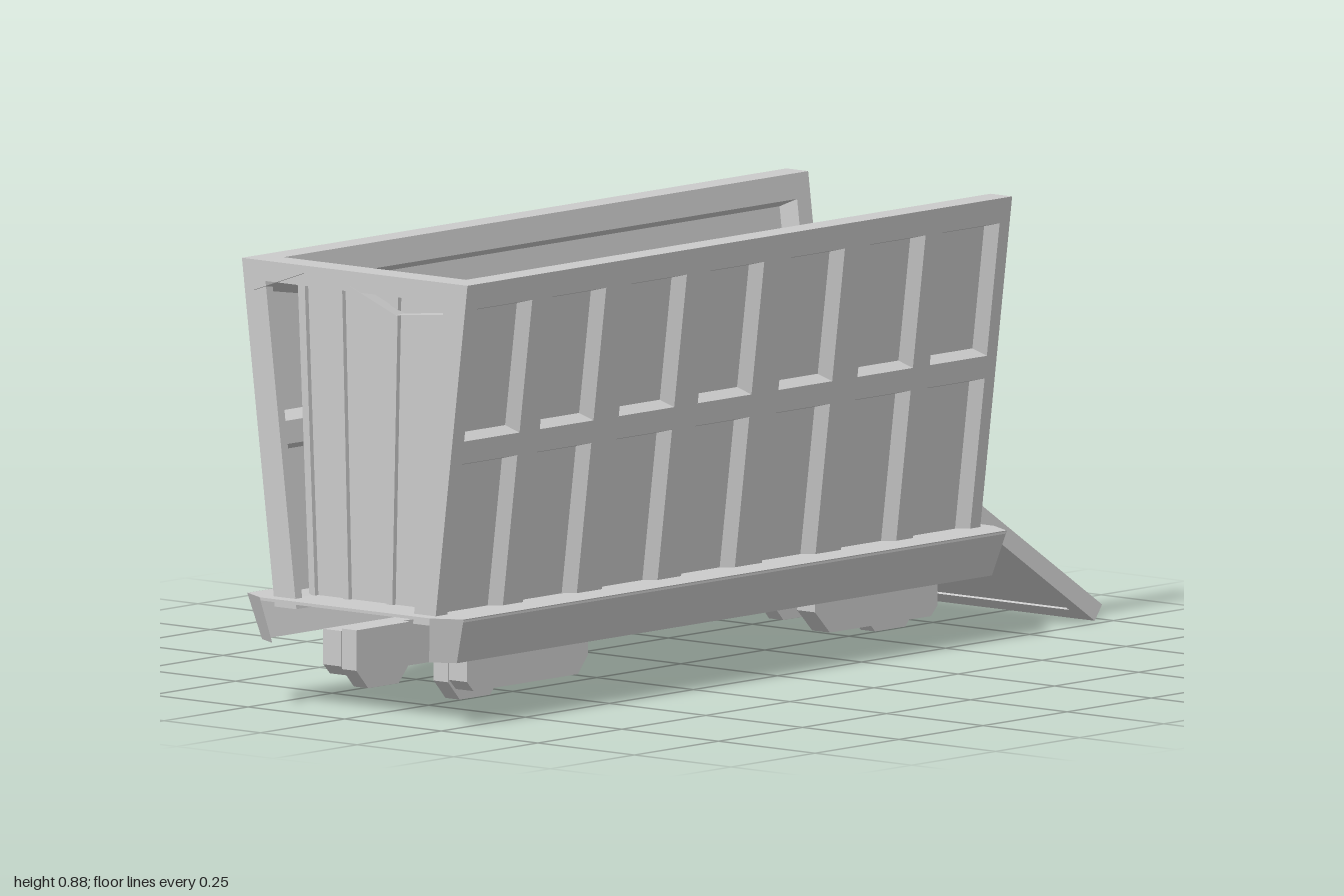
import * as THREE from 'three';

const mat = new THREE.MeshStandardMaterial({ color: 0xcccccc, flatShading: true, side: THREE.DoubleSide });
const FRONT = 0.97, BACK = -0.65, BOTTOM = 0.2, TOP = 0.88;
// Outer face of the leaning side walls at height y
const outerX = (y) => 0.207 + (y - BOTTOM) * 0.125;

function add(parent, name, geometry) {
  const mesh = new THREE.Mesh(geometry, mat);
  mesh.name = name;
  parent.add(mesh);
  return mesh;
}

const rect = (a, b, c, d) => [[a, c], [b, c], [b, d], [a, d]].map((p) => new THREE.Vector2(...p));

// Flat plate from an outline with holes, between depths w0 and w1
function plate(outline, holes, w0, w1) {
  const shape = new THREE.Shape(outline);
  holes.forEach((h) => shape.holes.push(new THREE.Path(h)));
  return new THREE.ExtrudeGeometry(shape, { depth: w1 - w0, bevelEnabled: false }).translate(0, 0, w0);
}

// Band of quads between two outlines at depths w0 and w1, closed unless count is given
function rim(outer, inner, w0, w1, count = outer.length) {
  const pos = [];
  for (let i = 0; i < count; i++) {
    const j = (i + 1) % outer.length;
    const q = [[outer[i], w0], [outer[j], w0], [inner[j], w1], [inner[i], w1]];
    [0, 1, 2, 0, 2, 3].forEach((k) => pos.push(q[k][0].x, q[k][0].y, q[k][1]));
  }
  const g = new THREE.BufferGeometry();
  g.setAttribute('position', new THREE.Float32BufferAttribute(pos, 3));
  g.computeVertexNormals();
  return g;
}

// Turn a plate to the side and lean it outwards
function lean(g) {
  g.rotateY(Math.PI / 2);
  const p = g.attributes.position;
  for (let i = 0; i < p.count; i++) p.setX(i, p.getX(i) + outerX(p.getY(i)));
  g.computeVertexNormals();
  return g;
}

function sideWall() {
  const wall = new THREE.Group();
  wall.name = 'sideWall';
  const whole = rect(-FRONT, -BACK, BOTTOM, TOP);
  const columns = [[0.935, 0.77], [0.71, 0.55], [0.475, 0.31], [0.24, 0.08], [0, -0.16], [-0.235, -0.4], [-0.45, -0.62]];
  const rows = [[0.565, 0.83, 0.015], [0.215, 0.52, 0]];
  const holes = [];
  // Outer panels with bevelled rims
  for (const [za, zb] of columns) for (const [ya, yb, bottomInset] of rows) {
    const hole = rect(-za, -zb, ya, yb);
    holes.push(hole);
    add(wall, 'panelRim', lean(rim(hole, rect(-za + 0.02, -zb - 0.02, ya + bottomInset, yb - 0.006), 0, -0.022)));
  }
  add(wall, 'outerFrame', lean(plate(whole, holes, -0.022, 0)));
  add(wall, 'wallCore', lean(plate(whole, [], -0.026, -0.022)));
  // Long panels on the inside
  const inside = rows.map(([ya, yb]) => rect(-0.95, 0.61, ya, yb));
  add(wall, 'innerFrame', lean(plate(whole, inside, -0.056, -0.026)));
  rows.forEach(([ya, yb], i) =>
    add(wall, 'innerRim', lean(rim(inside[i], rect(-0.93, 0.59, ya + 0.015, yb - 0.015), -0.056, -0.026))));
  return wall;
}

// Upright trapezoid: left and right edges at the bottom, then at the top
const trapezoid = (a0, b0, a1, b1, y0, y1) =>
  [[a0, y0], [b0, y0], [b1, y1], [a1, y1]].map((p) => new THREE.Vector2(...p));

// Recessed front wall under a top beam
function endWall() {
  const g = new THREE.Group();
  g.name = 'endWall';
  const x1 = outerX(0.84), x2 = outerX(TOP);
  add(g, 'topBeam', plate(trapezoid(-x1, x1, -x2, x2, 0.84, TOP), [], 0.91, FRONT));
  add(g, 'endPanel', plate(trapezoid(-0.17, 0.17, -0.21, 0.21, 0.22, 0.85), [], 0.885, 0.9));
  // Upright ribs, spreading towards the top
  for (const [a0, b0, a1, b1] of [[-0.17, -0.155, -0.2, -0.182], [-0.083, -0.068, -0.105, -0.085], [0.03, 0.045, 0.04, 0.06], [0.155, 0.17, 0.182, 0.2]])
    add(g, 'endRib', plate(trapezoid(a0, b0, a1, b1, 0.22, 0.84), [], 0.895, 0.91));
  return g;
}

function ramp() {
  const g = new THREE.Group();
  g.name = 'ramp';
  const L = 0.44, T = 0.037;
  const hole = trapezoid(-0.138, 0.138, -0.182, 0.182, 0.035, L - 0.035);
  const floor = trapezoid(-0.128, 0.128, -0.172, 0.172, 0.045, L - 0.045);
  add(g, 'rampFrame', plate(trapezoid(-0.175, 0.175, -0.224, 0.224, 0, L), [hole], -T, 0));
  add(g, 'rampFloor', plate(hole, [], -T + 0.004, -0.018));
  add(g, 'rampRim', rim(hole, floor, 0, -0.018));
  for (const x of [-0.07, 0.04])
    add(g, 'rampRib', plate(trapezoid(x - 0.01, x + 0.01, x * 1.3 - 0.012, x * 1.3 + 0.012, 0.04, L - 0.04), [], -0.02, -0.015));
  g.position.set(0, 0.29, -0.64);
  g.rotation.x = Math.atan2(-0.35, -0.255);
  return g;
}

// Tray open below and at the front: floor plate and slanting skirts
function base() {
  const g = new THREE.Group();
  g.name = 'base';
  // Chamfered outline; its last edge is the front one
  const outline = (x, xc, z, zc) => [[xc, z], [x, zc], [x, -zc], [xc, -z], [-xc, -z], [-x, -zc], [-x, zc], [-xc, z]]
    .map((p) => new THREE.Vector2(...p));
  const top = outline(0.28, 0.22, 0.84, 0.808);
  const low = outline(0.252, 0.203, 0.822, 0.796);
  add(g, 'baseFloor', plate(top.map((p) => p.clone().multiplyScalar(0.998)), [], 0, 0.006));
  add(g, 'baseSkirt', rim(top, low, 0, 0.09, 7));
  g.rotation.x = Math.PI / 2;
  g.position.set(0, 0.22, 0.16);
  return g;
}

// Outline in z and y, given thickness from x0 to x1
function runner(points, x0, x1) {
  return plate(points.map(([z, y]) => new THREE.Vector2(-z, y)), [], x0, x1).rotateY(Math.PI / 2);
}

// Sloping load, high at the front and spilling to the back
function load() {
  const stations = [[0.974, 0.83], [0.75, 0.775], [0.55, 0.735], [0.38, 0.695], [0.2, 0.65], [0.05, 0.54],
    [-0.1, 0.43], [-0.25, 0.36], [-0.42, 0.31], [-0.65, 0.26]];
  const frontEdge = [-0.01, 0.035, 0.02, -0.025, -0.01];
  const g = new THREE.PlaneGeometry(2, 1, 4, stations.length - 1);
  const p = g.attributes.position;
  let seed = 11;
  const noise = () => ((seed = (seed * 137 + 71) % 1009) / 1009 - 0.5);
  for (let i = 0; i < p.count; i++) {
    const c = i % 5, r = Math.floor(i / 5), [z, h] = stations[r];
    const middle = r > 0 && r < 9;
    const crown = middle ? 0.015 * (1 - Math.abs(c - 2) / 2) : 0;
    const y = h + crown + (r === 0 ? frontEdge[c] : noise() * (middle ? 0.03 : 0.01));
    const shift = c % 4 ? noise() * 0.04 : 0;
    p.setXYZ(i, p.getX(i) * (outerX(y) - 0.025) + shift, y, z + (middle ? noise() * 0.06 : 0));
  }
  g.computeVertexNormals();
  return g;
}

export function createModel() {
  const model = new THREE.Group();
  model.name = 'freightWagon';
  model.add(base(), endWall(), ramp());
  add(model, 'load', load());

  // Loose lumps on the load
  for (const [x, y, z, s] of [[-0.14, 0.28, -0.58, 0.065], [0.16, 0.36, -0.33, 0.055], [0.2, 0.8, 0.74, 0.055]]) {
    const lump = add(model, 'lump', new THREE.TetrahedronGeometry(s));
    lump.position.set(x, y, z);
    lump.rotation.set(x * 9, z * 4, 0.5);
  }

  // Walls and running gear, mirrored left and right
  for (const side of [1, -1]) {
    const half = new THREE.Group();
    half.name = side > 0 ? 'leftSide' : 'rightSide';
    half.add(sideWall());
    add(half, 'frontRunner', runner([[0.85, 0.145], [0.85, 0.075], [0.83, 0.055], [0.52, 0.055], [0.49, 0.09], [0.49, 0.145]], 0.14, 0.186));
    add(half, 'rearRunner', runner([[-0.185, 0.145], [-0.185, 0.1], [-0.23, 0.055], [-0.53, 0.055], [-0.55, 0.075], [-0.55, 0.145]], 0.14, 0.186));
    for (const z of [0.77, -0.465])
      add(half, 'wheel', runner([[z + 0.08, 0.15], [z + 0.08, 0.07], [z + 0.045, 0.032], [z - 0.045, 0.032], [z - 0.08, 0.07], [z - 0.08, 0.15]], 0.1, 0.137));
    half.scale.x = side;
    model.add(half);
  }
  return model;
}
